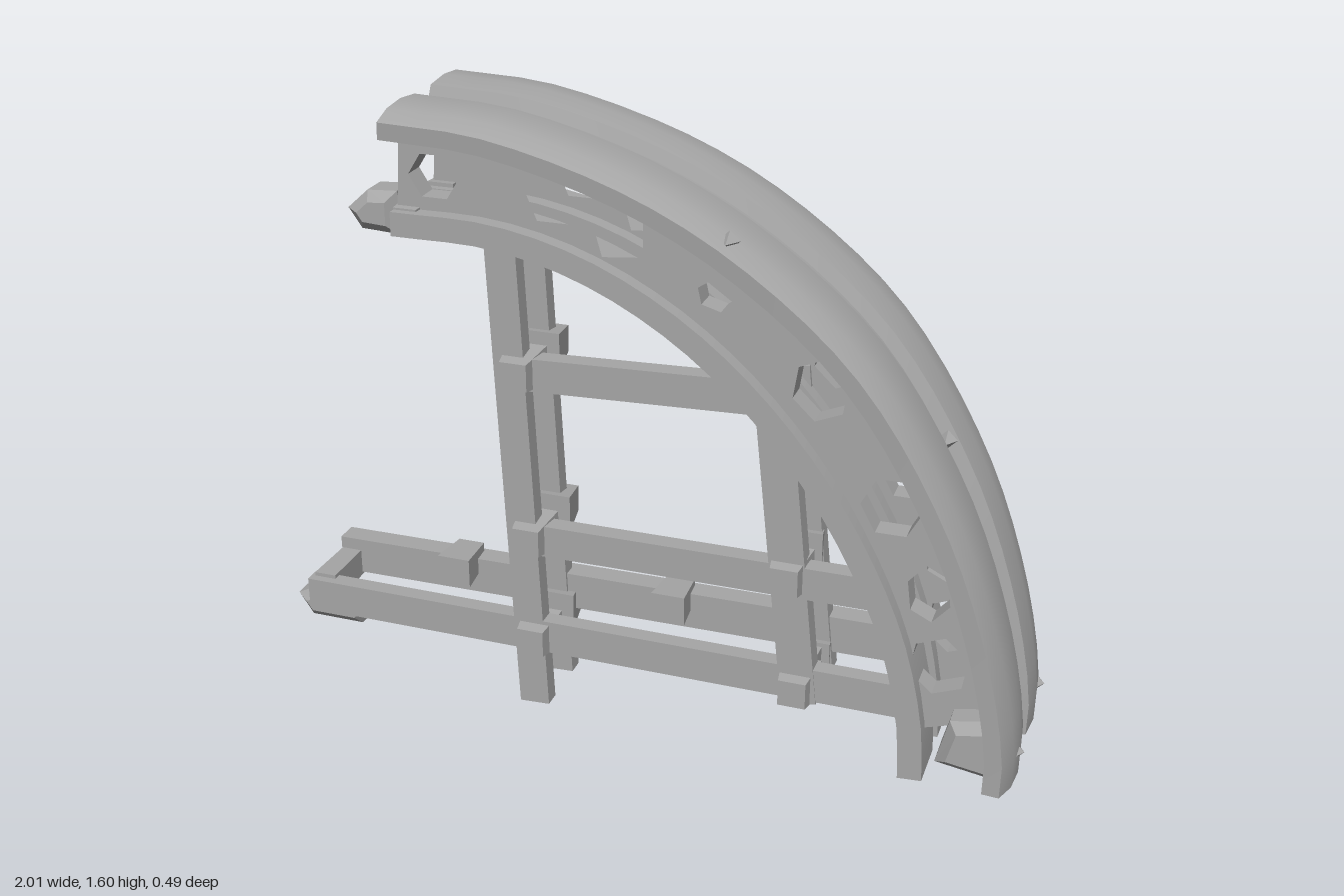
import * as THREE from 'three';
import { toCreasedNormals } from 'three/addons/utils/BufferGeometryUtils.js';

const stone = new THREE.MeshStandardMaterial({ color: 0xa6a6a6 });
stone.name = 'grey stone';

const curve = (pts) => new THREE.CatmullRomCurve3(pts.map(([x, y]) => new THREE.Vector3(x, y, 0)));
const OUTER = curve([[-0.56, 1.59], [-0.3, 1.575], [0.06, 1.475], [0.34, 1.325], [0.6, 1.1],
  [0.81, 0.77], [0.93, 0.45], [0.985, 0.18], [0.985, 0.08]]);
const INNER = curve([[-0.58, 1.275], [-0.32, 1.27], [-0.1, 1.215], [0.12, 1.1], [0.32, 0.93],
  [0.5, 0.7], [0.64, 0.42], [0.7, 0.18], [0.71, 0.03]]);

// Points along a curve, moved outwards by a distance
function offset(path, t, d) {
  const p = path.getPointAt(t), g = path.getTangentAt(t);
  return [p.x - g.y * d, p.y + g.x * d];
}

// Sweep a closed section of [outward, z] corners along a curve
function sweep(path, section, steps = 28) {
  const n = section.length, pos = [], idx = [];
  for (let i = 0; i <= steps; i++) {
    for (const [d, z] of section) pos.push(...offset(path, i / steps, d), z);
  }
  for (let i = 0; i < steps; i++) {
    for (let j = 0; j < n; j++) {
      const a = i * n + j, b = i * n + (j + 1) % n;
      idx.push(a, a + n, b, b, a + n, b + n);
    }
  }
  const flat = section.map(([d, z]) => new THREE.Vector2(d, z));
  for (const [a, b, c] of THREE.ShapeUtils.triangulateShape(flat, [])) {
    const e = steps * n;
    idx.push(a, c, b, e + a, e + b, e + c);
  }
  const g = new THREE.BufferGeometry();
  g.setAttribute('position', new THREE.Float32BufferAttribute(pos, 3));
  g.setIndex(idx);
  return toCreasedNormals(g, 0.5);
}

export function createModel() {
  const model = new THREE.Group();
  model.name = 'ruinedArch';

  function add(name, geometry, x = 0, y = 0, z = 0) {
    const m = new THREE.Mesh(geometry, stone);
    m.name = name;
    m.position.set(x, y, z);
    model.add(m);
    return m;
  }
  // Straight beam between two points in the front plane
  function beam(name, [x1, y1], [x2, y2], z, height, depth) {
    const len = Math.hypot(x2 - x1, y2 - y1);
    const m = add(name, new THREE.BoxGeometry(len, height, depth), (x1 + x2) / 2, (y1 + y2) / 2, z);
    m.rotation.z = Math.atan2(y2 - y1, x2 - x1);
  }
  // Rough block: a box narrowed towards its outer side
  function block(name, x, y, z, w, h, d, taper = 0.7) {
    const g = new THREE.BoxGeometry(w, h, d).toNonIndexed();
    const p = g.attributes.position;
    for (let i = 0; i < p.count; i++) {
      const s = p.getZ(i) * Math.sign(z || 1) > 0 ? taper : 1;
      p.setXY(i, p.getX(i) * s, p.getY(i) * s);
    }
    g.computeVertexNormals();
    add(name, g, x, y, z);
  }
  // Broken lump: a front outline with chamfered faces
  function lump(name, outline, z, depth) {
    const shape = new THREE.Shape(outline.map(([x, y]) => new THREE.Vector2(x, y)));
    const bevel = 0.025;
    const g = new THREE.ExtrudeGeometry(shape, { depth: depth - 2 * bevel, bevelSize: bevel,
      bevelThickness: bevel, bevelOffset: -bevel, bevelSegments: 1 });
    add(name, g, 0, 0, z - depth / 2 + bevel);
  }

  // Curved top with a groove down the middle
  const half = [[-0.03, 0.033], [0, 0.045], [0.008, 0.12], [0.002, 0.19], [-0.018, 0.243], [-0.06, 0.24]];
  add('curvedTop', sweep(OUTER, [...half.map(([d, z]) => [d, -z]).reverse(), ...half].reverse()));

  // Pierced web outline between the two arcs, stopping short of the feet
  const web = new THREE.Shape();
  const N = 24, END = 0.94;
  for (let i = 0; i <= N; i++) {
    const [x, y] = offset(OUTER, END * i / N, -0.05);
    i ? web.lineTo(x, y) : web.moveTo(x, y);
  }
  for (let i = N; i >= 0; i--) web.lineTo(...offset(INNER, END * i / N, 0.03));
  const holes = [[-0.48, 1.42, 0.065, 0.06], [0.22, 1.21, 0.05, 0.04], [0.47, 1.01, 0.07, 0.08],
    [0.65, 0.74, 0.075, 0.08], [0.75, 0.53, 0.055, 0.075], [0.785, 0.34, 0.075, 0.08]];
  holes.forEach(([x, y, rx, ry], k) => {
    const pts = [];
    for (let i = 0; i < 6; i++) {
      const a = i * Math.PI / 3 + k * 0.7;
      pts.push(new THREE.Vector2(x + rx * Math.cos(a), y + ry * Math.sin(a)));
    }
    web.holes.push(new THREE.Path(pts));
  });
  // One wide broken opening near the top
  const wide = [[-0.27, 1.46], [-0.2, 1.475], [0.04, 1.38], [0.04, 1.28], [-0.06, 1.27], [-0.08, 1.34], [-0.22, 1.34]];
  web.holes.push(new THREE.Path(wide.map(([x, y]) => new THREE.Vector2(x, y))));

  for (const s of [1, -1]) {
    // Web and inner arc on each side
    add('archWeb', new THREE.ExtrudeGeometry(web, { depth: 0.06, bevelEnabled: false }), 0, 0, s * 0.1 - 0.03);
    const lo = s * 0.1 - 0.07, hi = s * 0.1 + 0.07;
    add('innerArc', sweep(INNER, [[0, lo], [0, hi], [0.06, hi], [0.06, lo]]));

    // Uprights
    beam('tallLeg', [-0.27, 0], [-0.33, 1.29], s * 0.085, 0.08, 0.045);
    beam('shortLeg', [0.44, 0.15], [0.35, 0.98], s * 0.085, 0.09, 0.05);

    // Rough joints where beams cross
    for (const [x, y] of [[-0.29, 0.94], [-0.27, 0.49], [-0.265, 0.2], [0.4, 0.5], [0.43, 0.19]]) {
      block('joint', x, y, s * 0.09, 0.1, 0.1, 0.1);
    }
    lump('archFoot', [[0.8, 0.11], [0.97, 0.085], [0.975, 0.2], [0.93, 0.25], [0.83, 0.23]], s * 0.135, 0.15);
    block('archHead', -0.55, 1.31, s * 0.1, 0.07, 0.07, 0.1, 0.85);
  }

  // Front crossbars
  beam('upperCrossbar', [-0.3, 0.935], [0.36, 0.96], 0.085, 0.085, 0.05);
  beam('middleCrossbar', [-0.28, 0.485], [0.64, 0.49], 0.085, 0.085, 0.05);

  // Base rails, end piece and ties
  beam('frontRail', [-0.92, 0.205], [0.7, 0.205], 0.085, 0.09, 0.045);
  beam('backRail', [-0.91, 0.24], [0.7, 0.255], -0.1, 0.1, 0.06);
  block('railEnd', -0.88, 0.22, -0.025, 0.06, 0.08, 0.22, 0.9);
  for (const x of [-0.54, 0.06]) {
    block('railTie', x, 0.285, -0.06, 0.09, 0.08, 0.12, 0.8);
  }
  block('railTie', 0.43, 0.2, 0, 0.06, 0.06, 0.16, 0.9);

  // Broken stubs at the left end
  lump('lowerStub', [[-1, 0.15], [-0.96, 0.09], [-0.81, 0.09], [-0.77, 0.135], [-0.8, 0.18], [-0.94, 0.18]], 0, 0.1);
  lump('upperStub', [[-0.755, 1.29], [-0.72, 1.24], [-0.62, 1.235], [-0.62, 1.345], [-0.7, 1.34]], 0.01, 0.12);

  // Small chips standing out of the curved top
  for (const [t, z] of [[0.36, 0.19], [0.65, 0.01], [0.97, 0.14], [0.97, -0.18]]) {
    const [x, y] = offset(OUTER, t, -0.005);
    const m = add('chip', new THREE.OctahedronGeometry(0.03), x, y, z);
    m.scale.set(0.8, 0.8, 1.2);
  }
  return model;
}
